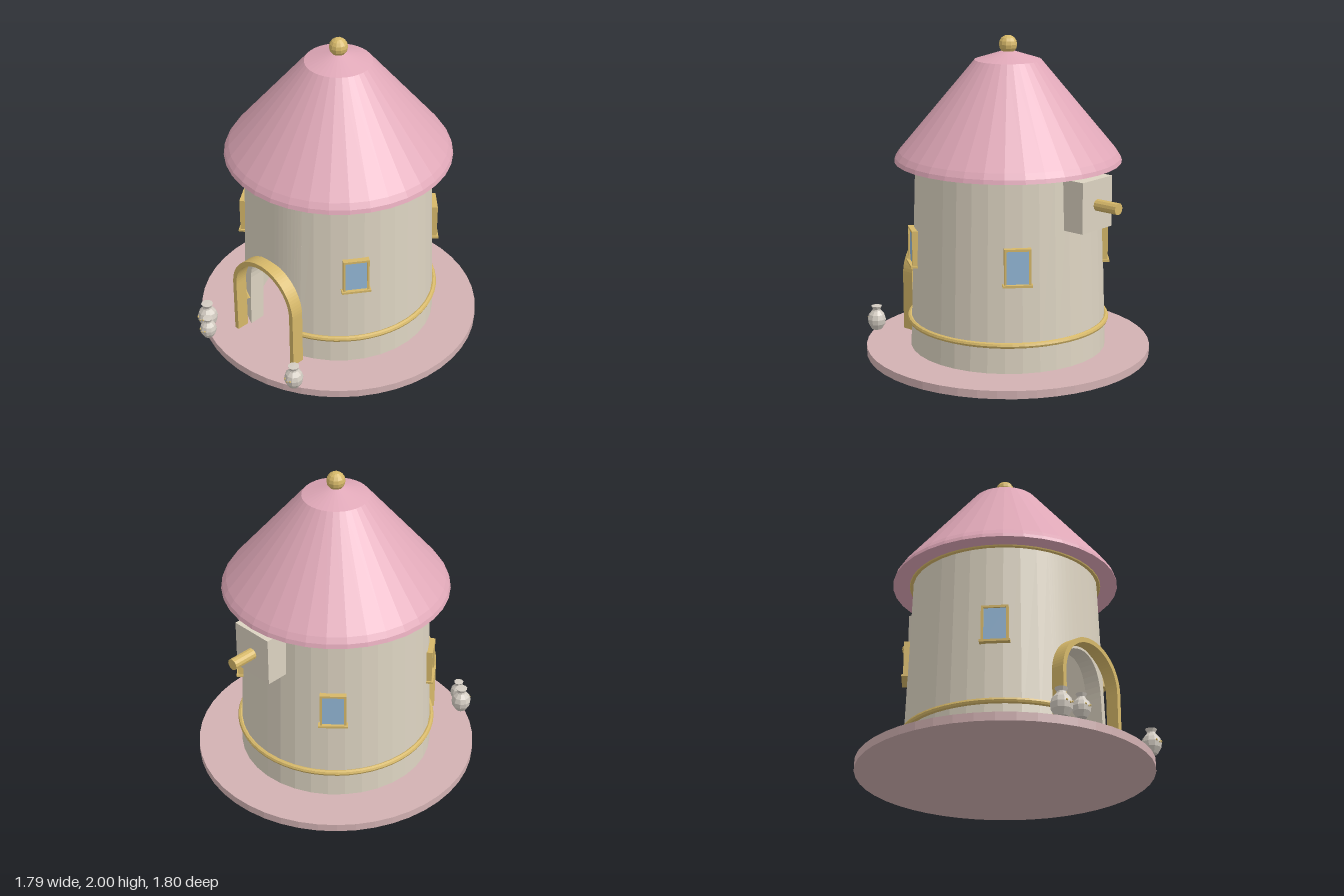
import * as THREE from 'three';

const mat = (name, color, extra = {}) => {
  const m = new THREE.MeshStandardMaterial({ color, flatShading: true, ...extra });
  m.name = name;
  return m;
};

export function createModel() {
  const group = new THREE.Group();
  const stone = mat('cream stone', 0xdcd3c1);
  const pink = mat('pink roof', 0xe0a8b8);
  const dusty = mat('dusty pink base', 0xd2b1b2);
  const gold = mat('gold trim', 0xd6b869);
  const glass = mat('blue glass', 0x93b7d6);
  const clay = mat('pale clay', 0xd3ccc2);

  const add = (name, geo, material, x = 0, y = 0, z = 0, parent = group) => {
    const mesh = new THREE.Mesh(geo, material);
    mesh.name = name;
    mesh.position.set(x, y, z);
    parent.add(mesh);
    return mesh;
  };
  const lathe = (pts, sides) =>
    new THREE.LatheGeometry(pts.map(([x, y]) => new THREE.Vector2(x, y)), sides);

  // Round base
  add('base', new THREE.CylinderGeometry(0.895, 0.895, 0.05, 48), dusty, 0, 0.025, 0);

  // Tapered thick wall with an arched doorway
  const floor = 0.05, top = 1.235, doorR = 0.223, spring = 0.415, thick = 0.1;
  const radius = y => 0.615 - 0.04 * (y - floor) / (top - floor);
  const point = (col, y, inner) => {
    const r = radius(y) - (inner ? thick : 0);
    return col.x !== undefined
      ? [col.x, y, Math.sqrt(r * r - col.x * col.x)]
      : [r * Math.sin(col.a), y, r * Math.cos(col.a)];
  };
  const verts = [];
  const quad = (a, b, c, d) => verts.push(...a, ...b, ...c, ...a, ...c, ...d);
  const strip = (c0, y0, c1, y1) => {
    quad(point(c0, y0), point(c1, y1), point(c1, top), point(c0, top));
    quad(point(c1, y1, 1), point(c0, y0, 1), point(c0, top, 1), point(c1, top, 1));
  };
  // above the doorway
  const archCols = [];
  for (let i = 0; i <= 20; i++) archCols.push({ x: -doorR * Math.cos(Math.PI * i / 20) });
  const archY = c => spring + Math.sqrt(Math.max(0, doorR * doorR - c.x * c.x));
  for (let i = 0; i < 20; i++) {
    const c0 = archCols[i], c1 = archCols[i + 1], y0 = archY(c0), y1 = archY(c1);
    strip(c0, y0, c1, y1);
    quad(point(c0, y0), point(c0, y0, 1), point(c1, y1, 1), point(c1, y1));
  }
  // around the rest of the tower
  const cols = [{ x: doorR }];
  for (let i = 3; i <= 33; i++) cols.push({ a: i * Math.PI / 18 });
  cols.push({ x: -doorR });
  for (let i = 0; i < cols.length - 1; i++) strip(cols[i], floor, cols[i + 1], floor);
  // door jambs
  const L = { x: -doorR }, R = { x: doorR };
  quad(point(L, floor), point(L, floor, 1), point(L, spring, 1), point(L, spring));
  quad(point(R, floor, 1), point(R, floor), point(R, spring), point(R, spring, 1));
  const wallGeo = new THREE.BufferGeometry();
  wallGeo.setAttribute('position', new THREE.Float32BufferAttribute(verts, 3));
  wallGeo.computeVertexNormals();
  add('towerWall', wallGeo, stone);

  // Roof and finial
  add('roof', lathe([[0, 1.23], [0.703, 1.23], [0.695, 1.255], [0.672, 1.29],
    [0.205, 1.85], [0, 1.915]], 36), pink);
  add('finial', new THREE.SphereGeometry(0.057, 12, 8), gold, 0, 1.943, 0);

  // Trim bands: the lower one is broken by the door
  const gap = 0.4;
  add('lowerBand', new THREE.TorusGeometry(0.617, 0.018, 8, 48, Math.PI * 2 - 2 * gap)
    .rotateZ(Math.PI / 2 + gap).rotateX(Math.PI / 2), gold, 0, 0.228, 0);
  add('upperBand', new THREE.TorusGeometry(0.583, 0.017, 8, 48).rotateX(Math.PI / 2),
    gold, 0, 1.235, 0);

  // Door arch standing in front of the opening
  const arch = new THREE.Shape();
  arch.moveTo(0.268, floor);
  arch.lineTo(0.268, spring);
  arch.absarc(0, spring, 0.268, 0, Math.PI, false);
  arch.lineTo(-0.268, floor);
  arch.lineTo(-0.238, floor);
  arch.lineTo(-0.238, spring);
  arch.absarc(0, spring, 0.238, Math.PI, 0, true);
  arch.lineTo(0.238, floor);
  add('doorArch', new THREE.ExtrudeGeometry(arch,
    { depth: 0.082, bevelEnabled: false, curveSegments: 20 }), gold, 0, 0, 0.588);

  // Four framed windows
  for (const deg of [54.6, -54.6, 137, -137]) {
    const win = new THREE.Group();
    win.name = 'window';
    win.rotation.y = THREE.MathUtils.degToRad(deg);
    group.add(win);
    add('pane', new THREE.BoxGeometry(0.14, 0.21, 0.035), glass, 0, 0.71, 0.592, win);
    for (const s of [-1, 1])
      add('frameSide', new THREE.BoxGeometry(0.014, 0.226, 0.04), gold, s * 0.073, 0.709, 0.6, win);
    add('frameTop', new THREE.BoxGeometry(0.16, 0.014, 0.04), gold, 0, 0.815, 0.6, win);
    add('sill', new THREE.BoxGeometry(0.18, 0.014, 0.05), gold, 0, 0.597, 0.605, win);
  }

  // Rear box with a projecting beam
  add('rearBox', new THREE.BoxGeometry(0.277, 0.31, 0.15), stone, 0, 1.055, -0.631);
  add('rearBeam', new THREE.CylinderGeometry(0.036, 0.036, 0.2, 12).rotateX(Math.PI / 2),
    gold, 0, 1.055, -0.764);

  // Clay jars with small gold studs
  const jarGeo = lathe([[0, 0], [0.036, 0], [0.06, 0.04], [0.065, 0.075], [0.055, 0.108],
    [0.03, 0.135], [0.027, 0.145], [0.038, 0.168], [0, 0.17]], 10);
  const studGeo = new THREE.IcosahedronGeometry(0.008, 0);
  for (const [x, z, s] of [[-0.415, 0.772, 1], [-0.33, 0.843, 0.83], [0.396, 0.79, 0.92]]) {
    const jar = new THREE.Group();
    jar.name = 'jar';
    jar.position.set(x, floor, z);
    jar.scale.setScalar(s);
    group.add(jar);
    add('jarBody', jarGeo, clay, 0, 0, 0, jar);
    for (const a of [-0.4, 0, 0.4])
      add('jarStud', studGeo, gold, 0.062 * Math.sin(a), a ? 0.08 : 0.07, 0.062 * Math.cos(a), jar);
  }
  return group;
}
